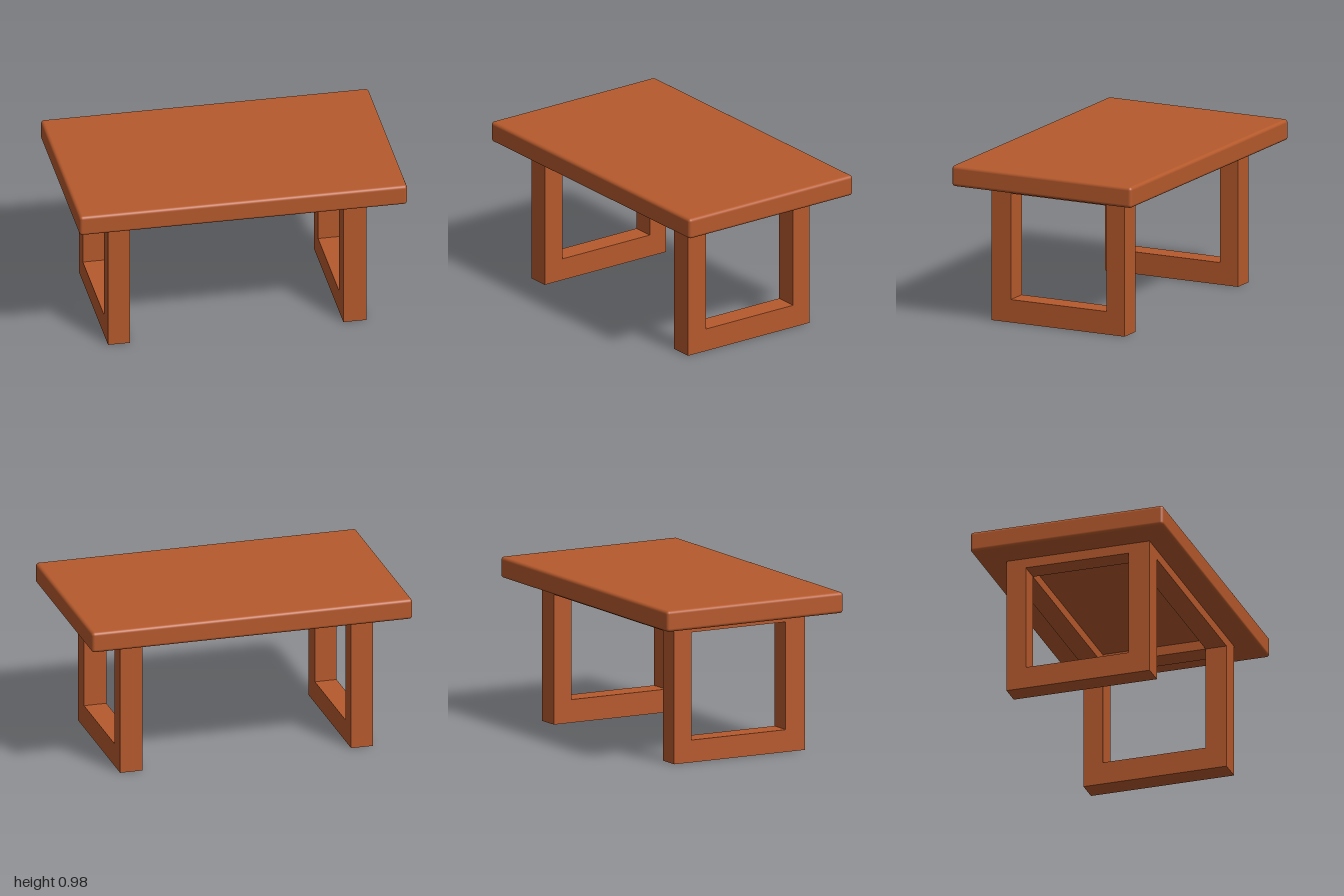
import * as THREE from 'three';
import { RoundedBoxGeometry } from 'three/addons/geometries/RoundedBoxGeometry.js';

const wood = new THREE.MeshStandardMaterial({ color: 0xb5592c });

const UNDERSIDE = 0.855;              // where the frame meets the top
const APRON = 0.793;                  // lower edge of the apron
const BACK = -0.447, FRONT = 0.457;   // outer z of the frame
const INNER = 0.325;                  // half the gap between front and back legs

function add(group, name, geometry, x = 0, y = 0, z = 0) {
  const mesh = new THREE.Mesh(geometry, wood);
  mesh.name = name;
  mesh.position.set(x, y, z);
  group.add(mesh);
}

// Closed rectangular leg frame with a window, spanning x0..x1
function legFrame(x0, x1, railTop) {
  const shape = new THREE.Shape([
    new THREE.Vector2(BACK, 0), new THREE.Vector2(FRONT, 0),
    new THREE.Vector2(FRONT, UNDERSIDE), new THREE.Vector2(BACK, UNDERSIDE),
  ]);
  shape.holes.push(new THREE.Path([
    new THREE.Vector2(-INNER, railTop), new THREE.Vector2(-INNER, APRON),
    new THREE.Vector2(INNER, APRON), new THREE.Vector2(INNER, railTop),
  ]));
  const geometry = new THREE.ExtrudeGeometry(shape, { depth: x1 - x0, bevelEnabled: false });
  geometry.rotateY(-Math.PI / 2); // shape x becomes z, depth runs toward -x
  geometry.translate(x1, 0, 0);
  return geometry;
}

export function createModel() {
  const table = new THREE.Group();
  table.name = 'table';

  // Thick top with softened edges
  add(table, 'tableTop', new RoundedBoxGeometry(2, 0.128, 1.22, 4, 0.02), 0, 0.917, 0);

  // Leg frames at both ends
  const rightX = [-0.797, -0.662], leftX = [0.638, 0.778];
  add(table, 'rightLegFrame', legFrame(...rightX, 0.136), 0, 0, 0);
  add(table, 'leftLegFrame', legFrame(...leftX, 0.141), 0, 0, 0);

  // Long apron rails joining the frames
  const length = leftX[0] - rightX[1], middle = (leftX[0] + rightX[1]) / 2;
  for (const [name, z0, z1] of [['frontApron', INNER, FRONT], ['backApron', BACK, -INNER]]) {
    add(table, name, new THREE.BoxGeometry(length, UNDERSIDE - APRON, z1 - z0),
      middle, (UNDERSIDE + APRON) / 2, (z0 + z1) / 2);
  }
  return table;
}
